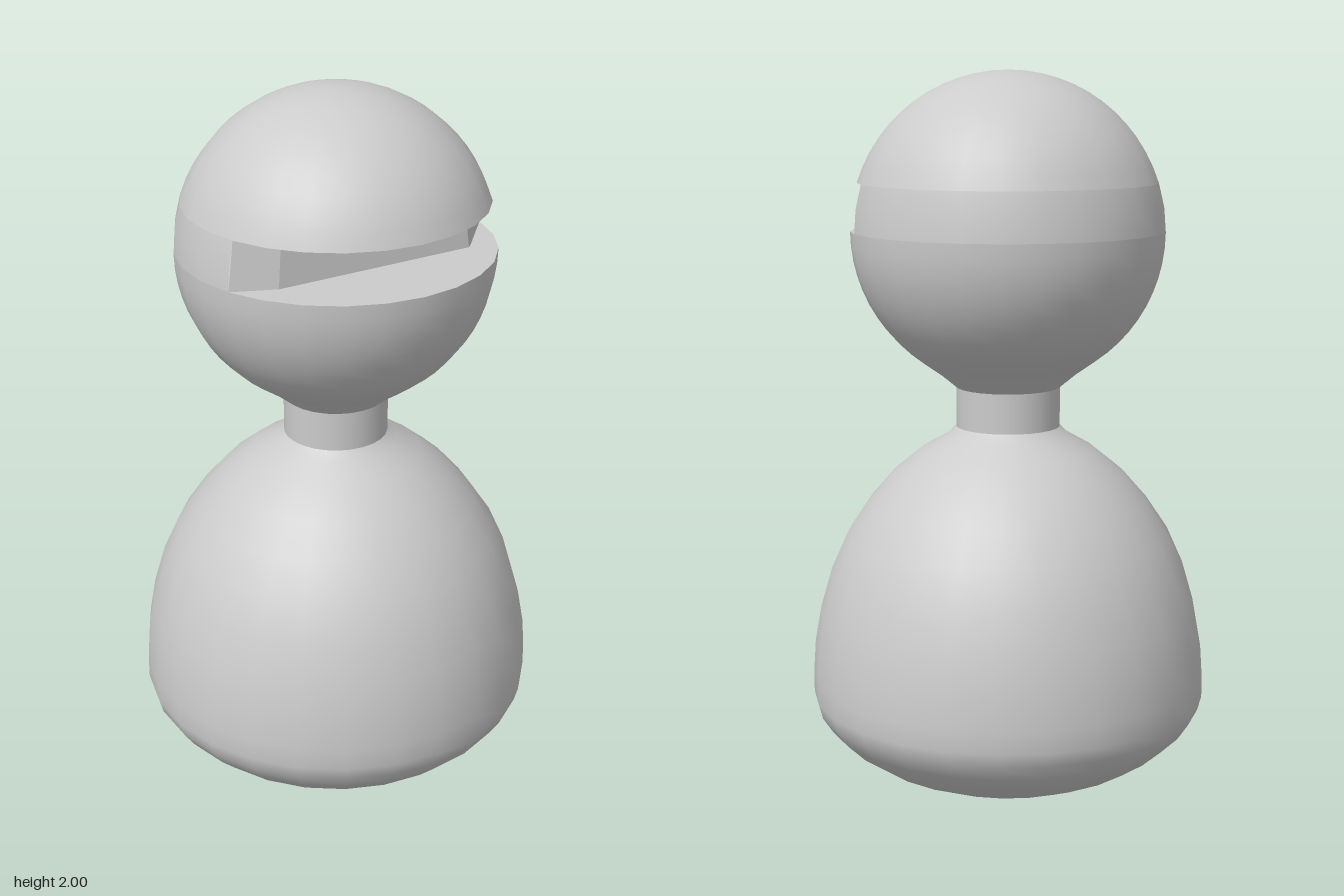
import * as THREE from 'three';

const SIDES = 26;
const STEP = (Math.PI * 2) / SIDES;
const HEAD_Y = 1.57, HEAD_R = 0.43, SLOT_TOP = 1.7;

const grey = new THREE.MeshStandardMaterial({ color: 0xcccccc });
const greyDouble = new THREE.MeshStandardMaterial({ color: 0xcccccc, side: THREE.DoubleSide });

// Turned surface from [radius, y] points, listed bottom to top
function turned(name, points, first = 0, count = SIDES, material = grey) {
  const profile = points.map(([r, y]) => new THREE.Vector2(r, y));
  const mesh = new THREE.Mesh(
    new THREE.LatheGeometry(profile, count, first * STEP, count * STEP), material);
  mesh.name = name;
  return mesh;
}

// Points of the head sphere between two heights
function headArc(y0, y1, n) {
  const a0 = Math.asin((y0 - HEAD_Y) / HEAD_R);
  const a1 = Math.asin(Math.min(1, (y1 - HEAD_Y) / HEAD_R));
  return Array.from({ length: n + 1 }, (_, i) => {
    const a = a0 + ((a1 - a0) * i) / n;
    return [Math.max(0, HEAD_R * Math.cos(a)), HEAD_Y + HEAD_R * Math.sin(a)];
  });
}

export function createModel() {
  const model = new THREE.Group();
  model.name = 'figure';

  // Rounded bell-shaped body
  model.add(turned('body', [
    [0, 0], [0.1, 0.006], [0.2, 0.022], [0.3, 0.05], [0.39, 0.09], [0.46, 0.137],
    [0.51, 0.185], [0.54, 0.23], [0.551, 0.27], [0.551, 0.33], [0.545, 0.42],
    [0.527, 0.52], [0.495, 0.63], [0.45, 0.73], [0.39, 0.82], [0.32, 0.9],
    [0.24, 0.965], [0.17, 1.005], [0.144, 1.03],
  ]));

  // Straight neck
  model.add(turned('neck', [[0.144, 1.03], [0.144, 1.14]]));

  // Head: lower bowl, upper dome, and the band left standing behind the slot
  const head = new THREE.Group();
  head.name = 'head';
  const rTop = Math.sqrt(HEAD_R ** 2 - (SLOT_TOP - HEAD_Y) ** 2);
  head.add(
    turned('headLower', [[0.144, 1.14], [0.19, 1.178], ...headArc(1.215, HEAD_Y, 10)]),
    turned('headUpper', headArc(SLOT_TOP, 2, 12)),
    turned('headBand', headArc(HEAD_Y, SLOT_TOP, 2), 6, 15),
    turned('slotFloor', [[HEAD_R, HEAD_Y], [0, HEAD_Y]]),
    turned('slotCeiling', [[0, SLOT_TOP], [rTop, SLOT_TOP]]),
  );

  // Back wall of the slot, running between the two ends of the band
  const end = (k) => [HEAD_R * Math.sin(k * STEP), HEAD_R * Math.cos(k * STEP)];
  const path = [end(6), [0.315, 0.175], [0.29, 0.2], [-0.285, 0.2], [-0.31, 0.19], end(21)];
  const k = rTop / HEAD_R;
  const positions = [];
  for (let i = 0; i < path.length - 1; i++) {
    const [[ax, az], [bx, bz]] = [path[i], path[i + 1]];
    const a0 = [ax, HEAD_Y, az], a1 = [ax * k, SLOT_TOP, az * k];
    const b0 = [bx, HEAD_Y, bz], b1 = [bx * k, SLOT_TOP, bz * k];
    positions.push(...b0, ...a0, ...a1, ...b0, ...a1, ...b1);
  }
  const wallGeometry = new THREE.BufferGeometry();
  wallGeometry.setAttribute('position', new THREE.Float32BufferAttribute(positions, 3));
  wallGeometry.computeVertexNormals();
  const wall = new THREE.Mesh(wallGeometry, greyDouble);
  wall.name = 'slotBackWall';
  head.add(wall);

  model.add(head);
  return model;
}
